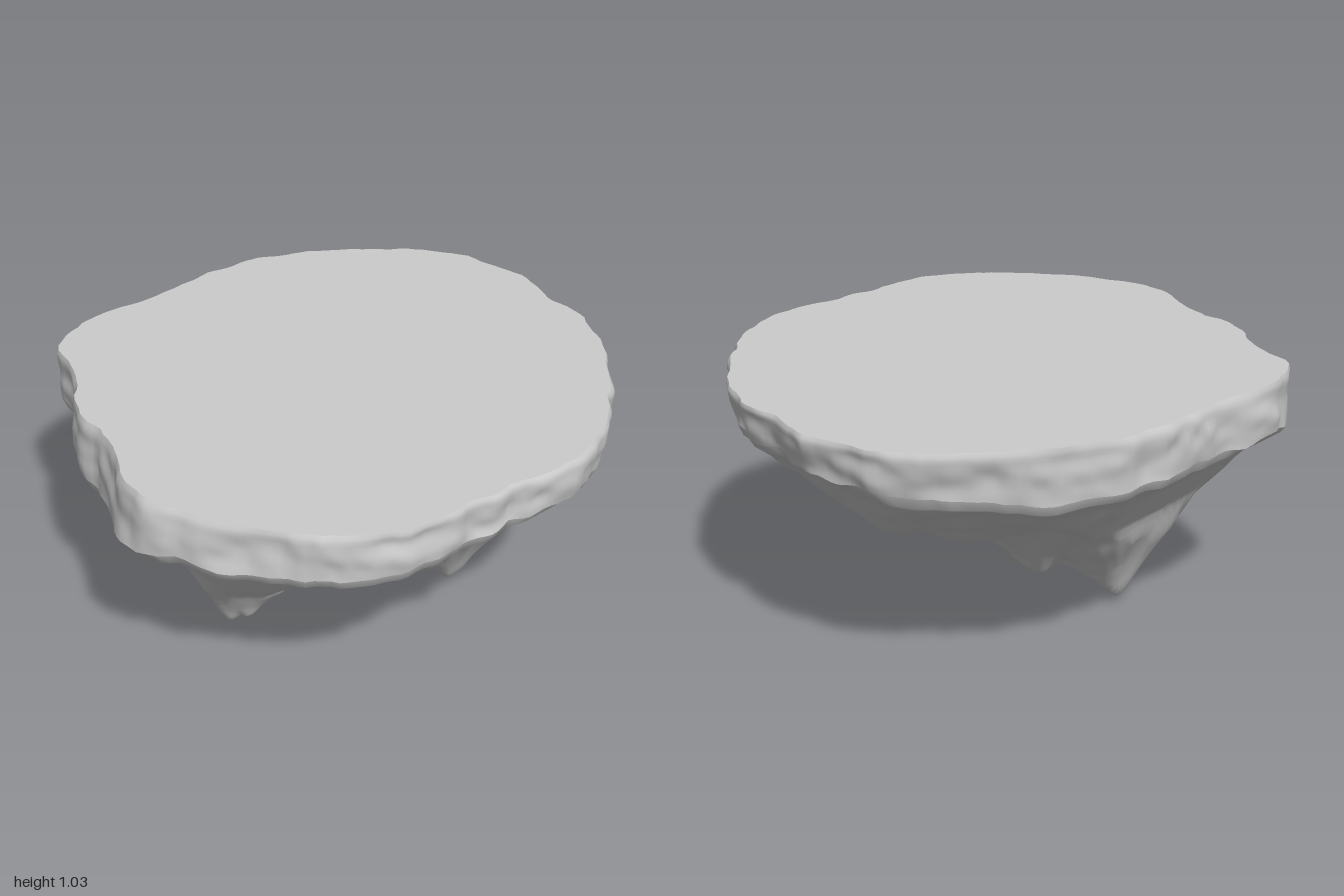
import * as THREE from 'three';

const TOP = 1.03, SEG = 200, RINGS = 56;

// Outline radius every 15 degrees, from +x towards +z
const RADII = [.87, .875, .925, .925, .945, .985, 1.01, .925, .97, .97, 1.04, .925,
  .885, .89, .895, .905, .95, .985, .995, 1, .99, .975, .965, .945];

// Lowest surface allowed along x and along z: [position, height]
const ALONG_X = [[-1, .84], [-.89, .81], [-.7, .67], [-.55, .47], [-.47, .22], [-.4, .1], [-.33, .02],
  [-.27, .06], [-.18, -.01], [-.08, .06], [0, .15], [.03, .24], [.1, .27], [.18, .26], [.28, .33], [.31, .4],
  [.4, .38], [.47, .32], [.55, .43], [.6, .5], [.66, .64], [.72, .72], [.9, .87], [1, .9]];
const ALONG_Z = [[-1, .92], [-.9, .85], [-.8, .76], [-.75, .7], [-.65, .58], [-.55, .48], [-.4, .43],
  [-.25, .39], [-.13, .33], [-.08, .3], [-.03, .21], [.05, .2], [.2, .17], [.25, .09], [.32, .02],
  [.37, .03], [.42, -.01], [.48, .1], [.55, .23], [.62, .4], [.7, .52], [.85, .7], [1, .83]];

// Hanging rock points: x, z, height, steepness (lower is steeper at the tip)
const FRONT_PEAKS = [
  [-.33, .32, .02, .75], [-.185, .41, -.03, .74], [-.1, .38, .05, .75], [-.15, .14, .17, .8],
  [-.2, .02, .19, .8], [.06, .12, .24, .8], [.18, .12, .25, .8], [.08, -.42, .41, 1.1], [-.12, -.25, .38, 1.05],
];
const BACK_PEAKS = [[.47, -.13, .31, .75], [.3, -.3, .38, .95]];

// Smooth seeded noise in -1..1
function hash(x, y, z) {
  const s = Math.sin(x * 127.1 + y * 311.7 + z * 74.7) * 43758.5453;
  return (s - Math.floor(s)) * 2 - 1;
}
function noise(x, y, z) {
  const c = [x, y, z].map(Math.floor);
  const f = [x, y, z].map((v, i) => { const t = v - c[i]; return t * t * (3 - 2 * t); });
  let sum = 0;
  for (let i = 0; i < 8; i++) {
    const o = [i & 1, (i >> 1) & 1, i >> 2];
    const w = o.reduce((p, b, k) => p * (b ? f[k] : 1 - f[k]), 1);
    sum += w * hash(c[0] + o[0], c[1] + o[1], c[2] + o[2]);
  }
  return sum;
}

function sample(table, v) {
  let i = 0;
  while (i < table.length - 2 && v > table[i + 1][0]) i++;
  const [a, b] = [table[i], table[i + 1]];
  return THREE.MathUtils.lerp(a[1], b[1], THREE.MathUtils.clamp((v - a[0]) / (b[0] - a[0]), 0, 1));
}
function smoothMin(a, b, k) {
  const h = Math.max(k - Math.abs(a - b), 0) / k;
  return Math.min(a, b) - h * h * k / 4;
}
const smoothMax = (a, b, k) => -smoothMin(-a, -b, k);
const bell = (v, centre, width) => Math.exp(-(((v - centre) / width) ** 2));

// Outer radius at an angle: periodic cubic through RADII, a front corner, a back notch and small chips
function radius(a) {
  const u = ((a / (Math.PI * 2) * 24) % 24 + 24) % 24, i = Math.floor(u), t = u - i;
  const [p, q, r, s] = [-1, 0, 1, 2].map(k => RADII[(i + k + 24) % 24]);
  const base = q + .5 * t * (r - p + t * (2 * p - 5 * q + 4 * r - s + t * (3 * (q - r) + s - p)));
  const x = Math.cos(a), z = Math.sin(a);
  return base + .07 * bell(u, 9.4, .33) - .035 * bell(u, 18.5, .3)
    + .006 * noise(x * 9, 3, z * 9) + .009 * noise(x * 20, 5, z * 20);
}
// Height of the lower edge of the rim
function rimY(a) {
  const x = Math.cos(a), z = Math.sin(a);
  return .82 + .04 * Math.max(0, x) - .05 * bell(x, -.3, .25) * Math.max(0, z)
    + .06 * Math.max(0, -z) ** 4 + .014 * noise(x * 5, 7, z * 5) + .012 * noise(x * 12, 8, z * 12);
}
// Lower edge radius: tucked in at the back, full at the front
const lowRadius = a => radius(a) - .008 - .03 * Math.max(0, -Math.sin(a));
const STEPS = 1440;
const LOW_EDGE = Array.from({ length: STEPS }, (_, i) => lowRadius(i / STEPS * Math.PI * 2));
const lowEdge = a => LOW_EDGE[(Math.round(a / (Math.PI * 2) * STEPS) + STEPS) % STEPS];

// Blunt cone from a peak out to the rim
function cone(x, z, [px, pz, py, steep]) {
  const dx = x - px, dz = z - pz;
  const d = Math.hypot(dx, dz);
  if (d < .025) return py;
  let near = 0, far = 2.6;
  for (let i = 0; i < 18; i++) {
    const m = (near + far) / 2, qx = px + dx / d * m, qz = pz + dz / d * m;
    if (Math.hypot(qx, qz) < lowEdge(Math.atan2(qz, qx))) near = m; else far = m;
  }
  const edge = rimY(Math.atan2(pz + dz / d * far, px + dx / d * far));
  return py + (edge - py) * Math.min(1, (d - .025) / (far - .025)) ** steep;
}

function undersideY(x, z, a, s) {
  const rim = rimY(a);
  if (s >= 1) return rim;
  const lobe = peaks => peaks.map(p => cone(x, z, p)).reduce((m, h) => smoothMin(m, h, .04));
  // The back lobe ends at a diagonal step in front of which the front lobe takes over
  const past = -.746 * (x - .31) + .665 * (z + .1) + .03 * noise(x * 6, 4, z * 6);
  let y = smoothMin(lobe(FRONT_PEAKS), lobe(BACK_PEAKS) + 1.6 * Math.max(0, past), .01);
  const fade = Math.min(1, (1 - s) * 6);
  // Groove running up to the back notch
  y += fade * .04 * bell(x, .04, .08) * THREE.MathUtils.smoothstep(-z, .45, .6);
  y += fade * Math.min(1, Math.max(0, y) * 5) * (.026 * noise(x * 5, 1, z * 5) + .014 * noise(x * 11, 2, z * 11));
  const floor = smoothMax(sample(ALONG_X, x), sample(ALONG_Z, z), .01);
  y = smoothMax(y, Math.min(floor, rim), .01);
  return Math.max(0, Math.min(y, rim + .02 * fade));
}

// Skin a stack of closed rings; point(row 0..1, angle) gives each vertex
function skin(rows, point) {
  const pos = [], index = [];
  for (let j = 0; j <= rows; j++)
    for (let i = 0; i < SEG; i++) pos.push(...point(j / rows, i / SEG * Math.PI * 2));
  for (let j = 0; j < rows; j++)
    for (let i = 0; i < SEG; i++) {
      const k = (i + 1) % SEG, a = j * SEG + i, b = j * SEG + k, c = a + SEG, d = b + SEG;
      index.push(a, b, c, b, d, c);
    }
  const g = new THREE.BufferGeometry();
  g.setAttribute('position', new THREE.Float32BufferAttribute(pos, 3));
  g.setIndex(index);
  g.computeVertexNormals();
  return g;
}

// Rim wall, v = 0 at the top edge and 1 at the lower edge
function rimPoint(v, a) {
  const c = Math.cos(a), s = Math.sin(a), y = THREE.MathUtils.lerp(TOP, rimY(a), v);
  const topR = radius(a) - .04 * Math.max(0, s) ** 8;
  const bevel = .012 * Math.max(0, 1 - v * 6) ** 2;
  const chips = Math.sin(v * Math.PI) * (.016 * noise(c * 7, y * 9, s * 7) + .01 * noise(c * 15, y * 16, s * 15));
  const r = THREE.MathUtils.lerp(topR, lowRadius(a), v) - bevel + chips;
  return [r * c, y, r * s];
}

export function createModel() {
  const group = new THREE.Group();
  const material = new THREE.MeshStandardMaterial({ color: 0xcccccc, roughness: .9 });
  const add = (name, geometry) => {
    const mesh = new THREE.Mesh(geometry, material);
    mesh.name = name;
    group.add(mesh);
  };

  // Flat ground on top
  add('flatTop', skin(1, (v, a) => {
    const [x, , z] = rimPoint(0, a);
    return [x * v, TOP, z * v];
  }));

  // Chipped vertical edge
  add('rimWall', skin(14, rimPoint));

  // Hanging rock with its points and ledges
  add('rockUnderside', skin(RINGS, (v, a) => {
    const s = 1 - v, r = lowRadius(a) * s, x = r * Math.cos(a), z = r * Math.sin(a);
    return [x, undersideY(x, z, a, s), z];
  }));

  return group;
}
